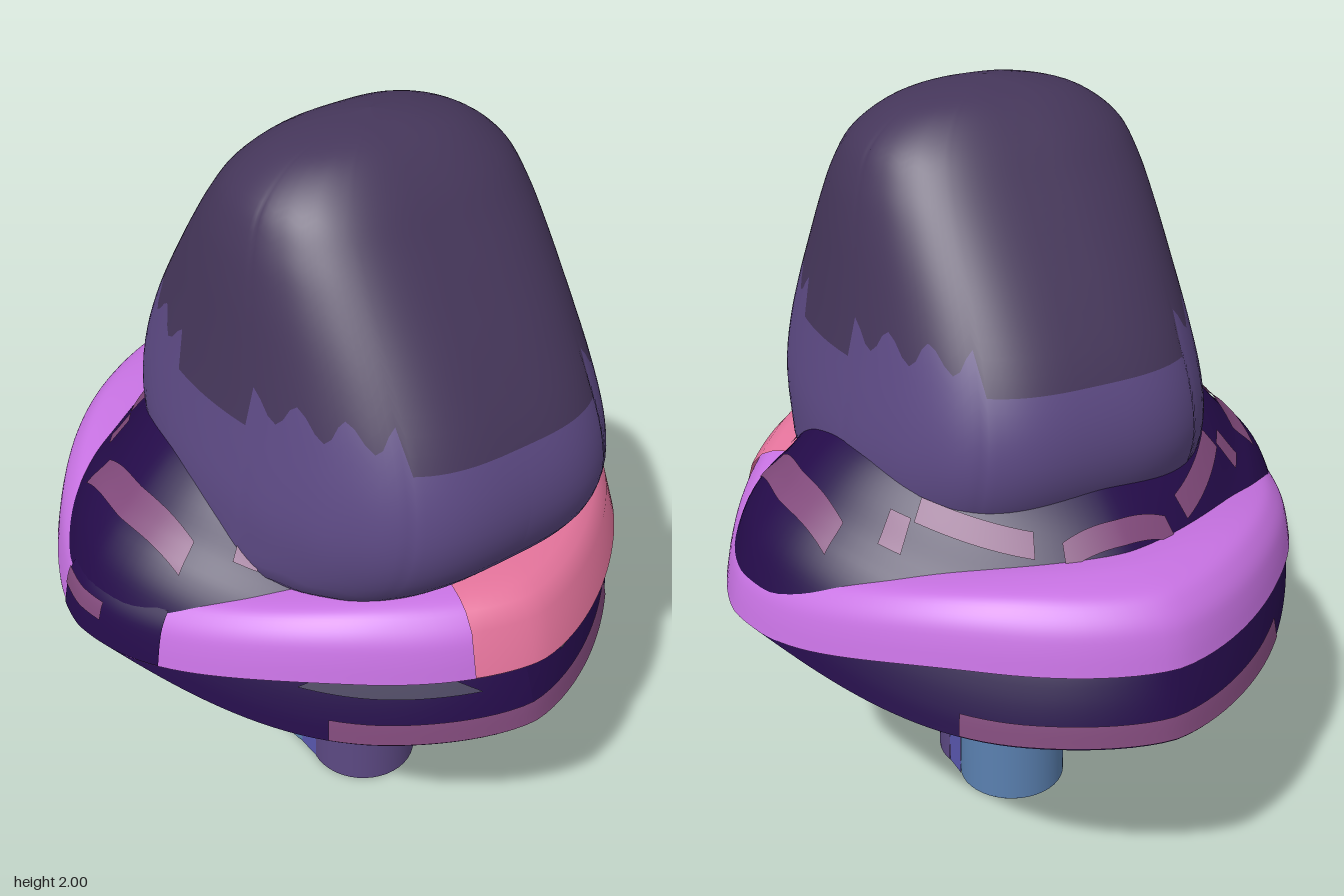
import * as THREE from 'three';

const mat = (name, color) => {
  const m = new THREE.MeshStandardMaterial({ color, side: THREE.DoubleSide });
  m.name = name;
  return m;
};
const rad = THREE.MathUtils.degToRad;

// smooth lookup through [key, a, b] points with rising keys
function table(points) {
  const pts = new THREE.CatmullRomCurve3(points.map(p => new THREE.Vector3(p[0], p[1], p[2] || 0))).getPoints(120);
  return key => {
    let i = 1;
    while (i < pts.length - 1 && pts[i].x < key) i++;
    const a = pts[i - 1], b = pts[i];
    const t = THREE.MathUtils.clamp((key - a.x) / (b.x - a.x || 1), 0, 1);
    return [a.y + (b.y - a.y) * t, a.z + (b.z - a.z) * t];
  };
}

// grid surface from point(u, v); optional row where a second material starts
function surface(nu, nv, point, splitRow) {
  const pos = [], idx = [];
  for (let j = 0; j <= nv; j++) for (let i = 0; i <= nu; i++) pos.push(...point(i / nu, j / nv));
  for (let j = 0; j < nv; j++) for (let i = 0; i < nu; i++) {
    const a = j * (nu + 1) + i, b = a + 1, c = a + nu + 1, d = c + 1;
    idx.push(a, b, d, a, d, c);
  }
  const g = new THREE.BufferGeometry();
  g.setAttribute('position', new THREE.Float32BufferAttribute(pos, 3));
  g.setIndex(idx);
  g.computeVertexNormals();
  if (splitRow) {
    g.addGroup(0, splitRow * nu * 6, 0);
    g.addGroup(splitRow * nu * 6, (nv - splitRow) * nu * 6, 1);
  }
  return g;
}

// rounded diamond outline of both brims, angle measured from the front
const outline = a => Math.pow(
  Math.pow(Math.abs(Math.sin(a)) / 0.787, 1.6) + Math.pow(Math.abs(Math.cos(a)) / 0.832, 1.6), -1 / 1.6);

// brim point function: domed profile over a rim that dips or rises to the ends
function brim(profile, edge) {
  const f = table(profile);
  return (a, s, off = 0) => {
    const r = outline(a) * s * (1 + off), z = r * Math.cos(a);
    return [r * Math.sin(a), edge(Math.abs(z)) + f(s)[0] + off, z];
  };
}

export function createModel() {
  const model = new THREE.Group();
  const slate = mat('dusky cap', 0x45365a), purple = mat('purple', 0x5c4983), dark = mat('deep violet', 0x240b49);
  const orchid = mat('orchid', 0xc772e2), rose = mat('rose', 0xe5749c), mauve = mat('mauve', 0x80497a);
  const blue = mat('steel blue', 0x5a80b0), indigo = mat('indigo', 0x5a58b0), grey = mat('grey violet', 0x4b4660);
  const periwinkle = mat('periwinkle', 0x6c6fd2);

  const add = (name, geometry, material) => {
    const m = new THREE.Mesh(geometry, material);
    m.name = name;
    model.add(m);
    return m;
  };

  // post: two overlapping columns with flat indigo seams bridging the waist
  const arc = (name, z, from, to, material) => add(name,
    new THREE.CylinderGeometry(0.15, 0.15, 0.96, 24, 1, true, rad(from), rad(to - from)), material).position.set(0, 0.48, z);
  arc('frontPost', 0.14, -101.5, 101.5, purple);
  arc('backPost', 0, 74.5, 285.5, blue);
  for (const side of [1, -1]) {
    const seam = add('postSeam', new THREE.PlaneGeometry(0.07, 0.96), indigo);
    seam.rotation.y = side * Math.PI / 2;
    seam.position.set(side * 0.146, 0.48, 0.075);
  }
  for (const [z, y, m] of [[0.14, 0, purple], [0, 0.002, blue]]) {
    const foot = add('postFoot', new THREE.CircleGeometry(0.15, 32), m);
    foot.rotation.x = Math.PI / 2;
    foot.position.set(0, y, z);
  }

  // brims: the dark one drops at front and back, the orchid one lifts there
  const darkAt = brim(
    [[0, 0.53], [0.25, 0.525], [0.4, 0.5], [0.54, 0.455], [0.637, 0.41], [0.71, 0.36], [0.79, 0.295], [0.86, 0.25], [0.915, 0.195], [0.955, 0.125], [0.985, 0.052], [1, 0]],
    z => 0.77 - 0.12 * THREE.MathUtils.smoothstep(z, 0.1, 0.7));
  const orchidAt = brim(
    [[0, 0.18], [0.4, 0.18], [0.7, 0.181], [0.8, 0.178], [0.9, 0.16], [0.94, 0.133], [0.968, 0.1], [0.985, 0.058], [1, 0]],
    z => 0.77 + 0.08 * THREE.MathUtils.smoothstep(z, 0.12, 0.65));
  const shell = at => surface(144, 60, (u, v) => at(u * Math.PI * 2, 1 - v * v));
  add('darkBrim', shell(darkAt), dark);
  add('orchidBrim', shell(orchidAt), orchid);

  // thin plate following a brim, angles in degrees; taper narrows it inward, bow pushes its ends outward
  const patch = (name, at, a0, a1, s0, s1, material, { off = 0.005, taper = 0, bow = 0 } = {}) =>
    add(name, surface(32, 12, (u, v) => {
      const inset = taper * v;
      const s = s1 + (s0 - s1) * v + bow * (2 * u - 1) ** 2;
      return at(rad(a0 + inset + (a1 - a0 - 2 * inset) * u), s, off);
    }), material);

  // rose blush at the front of the orchid brim, and on its underside
  patch('roseBlush', orchidAt, -12, 54, 0.5, 1, rose, { off: 0.008 });
  patch('roseUnderside', orchidAt, -150, -10, 0.05, 0.5, rose, { off: -0.005 });
  // right side corner where the dark brim shows at the rim
  patch('darkCorner', orchidAt, -97, -70, 0.93, 1, dark);
  patch('sideMark', orchidAt, -97, -84, 0.964, 0.985, mauve, { off: 0.008 });
  // lining and dots inside the brims
  patch('lining', darkAt, -30, 78, 0.8, 0.965, periwinkle, { off: -0.006 });
  patch('liningPatch', orchidAt, -108, -70, 0.7, 0.97, grey, { off: -0.005 });
  for (const a of [-62, -48, -20, 5, 30]) patch('innerDot', darkAt, a - 5, a + 5, 0.74, 0.78, mauve, { off: -0.006 });

  // dashes on the dark brim
  for (const c of [0, 180]) {
    patch('endDash', darkAt, c - 15, c + 15, 0.635, 0.69, mauve, { bow: 0.045 });
    patch('rimStripe', darkAt, c - 37, c + 37, 0.984, 1, mauve);
  }
  for (const side of [1, -1]) {
    patch('sideDash', darkAt, side * 90 - 20, side * 90 + 20, 0.735, 0.82, mauve, { bow: 0.05 });
    for (const c of [0, 180]) {
      const span = (name, a, b, s0, s1) => {
        const dir = c ? -side : side;
        patch(name, darkAt, Math.min(c + dir * a, c + dir * b), Math.max(c + dir * a, c + dir * b), s0, s1, mauve);
      };
      span('cornerDash', 22, 53, 0.665, 0.72);
      span('cornerDot', 54, 60, 0.715, 0.79);
    }
    // grey wedges under the front of the orchid brim
    patch('greyWedge', darkAt, side * 26 - 17, side * 26 + 17, 0.915, 0.958, grey, { taper: 11 });
  }

  // cap: sections square at the ends and rounder at the sides, jagged colour line at the four corners
  const cap = table([[0.94, 0.42, 0.40], [1.0, 0.495, 0.49], [1.1, 0.5, 0.58], [1.2, 0.496, 0.615], [1.3, 0.48, 0.61],
    [1.42, 0.457, 0.565], [1.55, 0.435, 0.485], [1.7, 0.41, 0.375], [1.8, 0.385, 0.297], [1.88, 0.345, 0.232],
    [1.95, 0.25, 0.155], [1.985, 0.13, 0.085], [2, 0, 0]]);
  const border = a => {
    const p = Math.atan2(Math.abs(Math.sin(a)), Math.abs(Math.cos(a))) * 180 / Math.PI;
    if (p < 27 || p > 73) return 1.4;
    return 1.47 + 0.03 * Math.cos((p - 27) / 46 * Math.PI * 6);
  };
  const bend = (t, power) => Math.sign(t) * Math.pow(Math.abs(t), power);
  const low = 14, rows = 44;
  const capGeometry = surface(144, rows, (u, v) => {
    const a = u * Math.PI * 2, b = border(a), j = Math.round(v * rows);
    const t = 1 - (j - low) / (rows - low);
    const y = j <= low ? 0.94 + (b - 0.94) * j / low : 2 - (2 - b) * t * t;
    const [w, d] = cap(y);
    return [w * bend(Math.sin(a), 2 / 3.1), y, 0.135 + d * bend(Math.cos(a), 2 / 1.95)];
  }, low);
  add('cap', capGeometry, [purple, slate]);

  return model;
}
